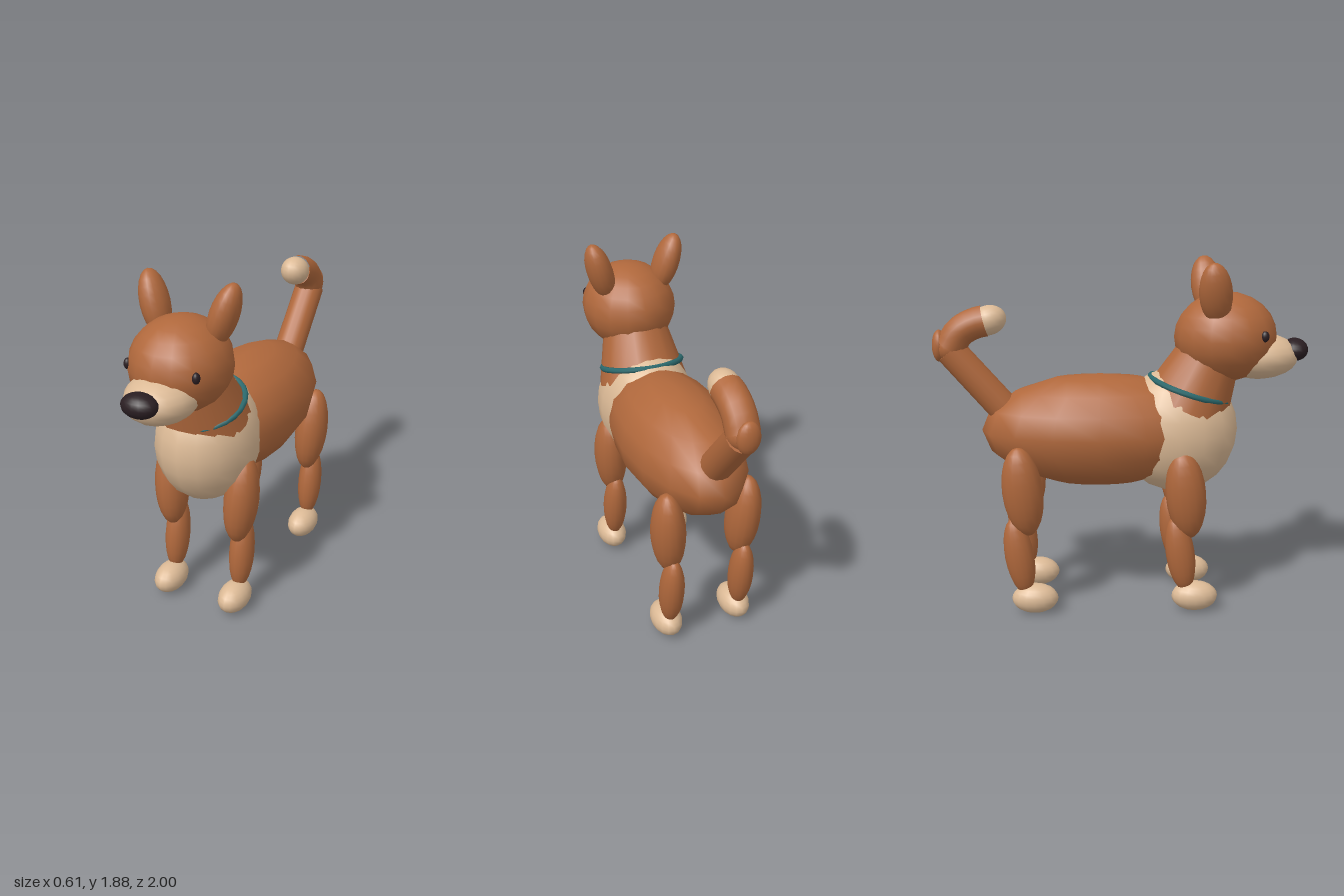
import * as THREE from 'three';

const mat = (name, color) => Object.assign(new THREE.MeshStandardMaterial({ color }), { name });
const V = (x, y, z) => new THREE.Vector3(x, y, z);

export function createModel() {
  const fur = mat('brown fur', 0xb0683c);
  const cream = mat('cream fur', 0xdcba96);
  const dark = mat('dark nose', 0x2a1e22);
  const teal = mat('teal collar', 0x2c6a6e);
  const model = new THREE.Group();
  model.name = 'dog';

  const add = (name, geometry, material, parent = model) => {
    const mesh = new THREE.Mesh(geometry, material);
    mesh.name = name;
    parent.add(mesh);
    return mesh;
  };
  // Smooth, low-segment ellipsoid: centre, radii, rotation
  const ball = (name, material, pos, radii, rot = [0, 0, 0], parent = model, w = 16, h = 12) => {
    const mesh = add(name, new THREE.SphereGeometry(1, w, h), material, parent);
    mesh.position.set(...pos);
    mesh.scale.set(...radii);
    mesh.rotation.set(...rot);
    return mesh;
  };
  // Tapered cylinder between two points
  const limb = (name, material, a, b, ra, rb) => {
    const mesh = add(name, new THREE.CylinderGeometry(rb, ra, a.distanceTo(b), 16), material);
    mesh.position.copy(a).lerp(b, 0.5);
    mesh.quaternion.setFromUnitVectors(V(0, 1, 0), b.clone().sub(a).normalize());
    return mesh;
  };

  // Trunk
  ball('body', fur, [0, 0.975, -0.12], [0.305, 0.305, 0.63], [0, 0, 0], model, 16, 8);
  ball('chest', cream, [0, 0.97, 0.3], [0.265, 0.34, 0.33]);
  limb('neck', fur, V(0, 1.103, 0.349), V(0, 1.424, 0.489), 0.243, 0.163);

  // Collar, mostly sunk into neck and chest
  const collar = add('collar', new THREE.TorusGeometry(0.22, 0.016, 6, 24), teal);
  collar.position.set(0, 1.195, 0.365);
  collar.rotation.x = Math.PI / 2 + 0.31;

  // Head
  ball('head', fur, [0, 1.475, 0.555], [0.255, 0.238, 0.275]);
  ball('muzzle', cream, [0, 1.37, 0.73], [0.177, 0.123, 0.22]);
  ball('nose', dark, [0, 1.402, 0.928], [0.095, 0.061, 0.072]);

  // Paired parts, left (+x) and right (-x)
  for (const s of [1, -1]) {
    const side = s > 0 ? 'left' : 'right';
    ball(side + 'Eye', dark, [s * 0.187, 1.5, 0.735], [0.019, 0.029, 0.022]);
    ball(side + 'Ear', fur, [s * 0.19, 1.722, 0.475], [0.07, 0.168, 0.087], [-0.12, 0, -s * 0.3]);

    for (const [end, z, y, paw] of [['Front', 0.335, 0.66, 0.39], ['Rear', -0.53, 0.685, -0.475]]) {
      const leg = new THREE.Group();
      leg.name = side + end + 'Leg';
      model.add(leg);
      ball('upperLeg', fur, [s * 0.21, y, z], [0.09, 0.248, 0.108], [-0.1, 0, -s * 0.06], leg);
      ball('lowerLeg', fur, [s * 0.2, 0.325, z - 0.025], [0.066, 0.215, 0.078], [-0.15, 0, 0], leg);
      ball('paw', cream, [s * 0.2, 0.083, paw], [0.081, 0.081, 0.125], [0, 0, 0], leg);
    }
  }

  // Tail rising backward, then curling forward to a pale tip
  limb('tailBase', fur, V(0, 1.06, -0.6), V(0, 1.41, -0.905), 0.084, 0.082);
  ball('tailBend', fur, [0, 1.425, -0.9], [0.08, 0.08, 0.08]);
  ball('tailKnob', fur, [0, 1.435, -0.963], [0.06, 0.085, 0.037]);
  const curl = new THREE.CatmullRomCurve3([
    V(0, 1.425, -0.905), V(0, 1.505, -0.855), V(0, 1.55, -0.78), V(0, 1.565, -0.72)]);
  add('tailCurl', new THREE.TubeGeometry(curl, 6, 0.083, 14), fur);
  ball('tailTip', cream, [0, 1.568, -0.7], [0.078, 0.079, 0.096], [-0.3, 0, 0]);

  return model;
}
